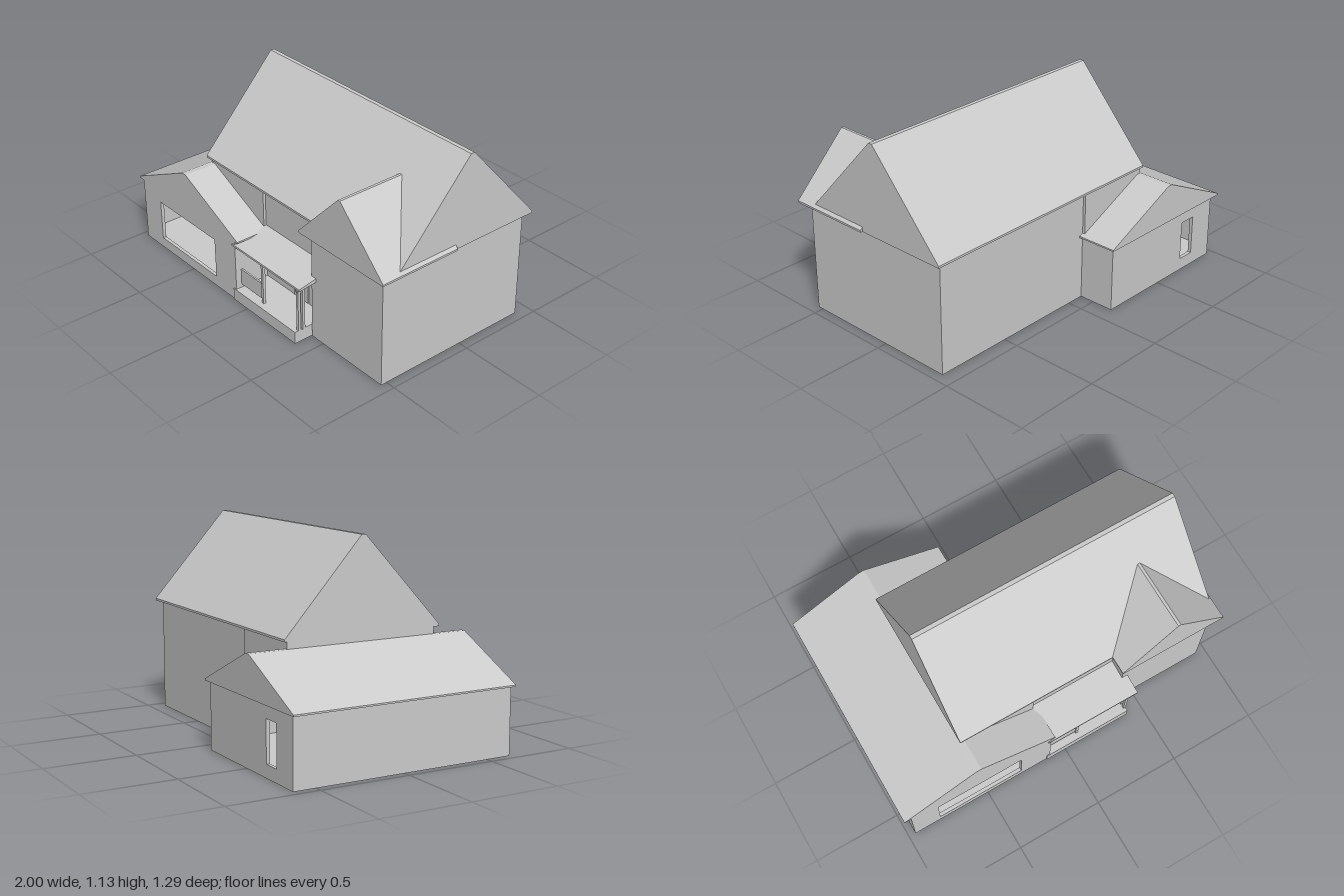
import * as THREE from 'three';

const material = new THREE.MeshStandardMaterial({ color: 0xcccccc, flatShading: true });

function add(parent, name, geometry) {
  const mesh = new THREE.Mesh(geometry, material);
  mesh.name = name;
  parent.add(mesh);
  return mesh;
}

// Box given by its limits on each axis
function block(parent, name, [x0, x1], [y0, y1], [z0, z1]) {
  const g = new THREE.BoxGeometry(x1 - x0, y1 - y0, z1 - z0);
  g.translate((x0 + x1) / 2, (y0 + y1) / 2, (z0 + z1) / 2);
  return add(parent, name, g);
}

const shapeOf = (pts) => new THREE.Shape(pts.map(([a, b]) => new THREE.Vector2(a, b)));

// Outline in x-y, swept from z0 to z1
function sweepZ(parent, name, shape, z0, z1) {
  const g = new THREE.ExtrudeGeometry(shape, { depth: z1 - z0, bevelEnabled: false });
  g.translate(0, 0, z0);
  return add(parent, name, g);
}

// Outline in z-y, swept from x0 to x1
function sweepX(parent, name, pts, x0, x1) {
  const shape = shapeOf(pts.map(([z, y]) => [-z, y]));
  const g = new THREE.ExtrudeGeometry(shape, { depth: x1 - x0, bevelEnabled: false });
  g.rotateY(Math.PI / 2);
  g.translate(x0, 0, 0);
  return add(parent, name, g);
}

// Wall panel with one rectangular opening
function openWall(parent, name, [x0, x1], [y0, y1], hole, z0, z1) {
  const shape = shapeOf([[x0, y0], [x1, y0], [x1, y1], [x0, y1]]);
  const [a, b, c, d] = hole;
  shape.holes.push(new THREE.Path([[a, c], [a, d], [b, d], [b, c]].map((p) => new THREE.Vector2(...p))));
  return sweepZ(parent, name, shape, z0, z1);
}

function makeHouse() {
  const house = new THREE.Group();
  house.name = 'mainHouse';
  block(house, 'frontBay', [0.41, 0.945], [0, 0.625], [-0.415, 0.535]);
  block(house, 'middleWalls', [-0.1, 0.41], [0, 0.625], [-0.415, 0.43]);
  block(house, 'upperLeftWalls', [-0.555, -0.1], [0.372, 0.625], [-0.43, 0.445]);
  sweepX(house, 'mainRoof',
    [[0.475, 0.625], [0.475, 0.637], [0.02, 1.13], [-0.003, 1.13], [-0.445, 0.637], [-0.445, 0.625]], -0.56, 0.98);
  // Cross gable running back into the main roof
  sweepZ(house, 'frontGableRoof',
    shapeOf([[0.365, 0.627], [0.995, 0.627], [0.995, 0.638], [0.683, 0.95], [0.668, 0.95], [0.365, 0.638]]), 0.095, 0.58);
  return house;
}

function makeGarage() {
  const garage = new THREE.Group();
  garage.name = 'garage';
  const x = [-0.96, -0.1], y = [0, 0.372];
  openWall(garage, 'garageFrontWall', x, y, [-0.8, -0.285, 0.06, 0.295], 0.62, 0.64);
  openWall(garage, 'garageBackWall', x, y, [-0.8, -0.7, 0.07, 0.295], -0.625, -0.605);
  block(garage, 'garageRightWall', [-0.96, -0.94], y, [-0.605, 0.62]);
  block(garage, 'garageLeftWall', [-0.12, -0.1], y, [-0.605, 0.62]);
  block(garage, 'garageFloor', [-0.94, -0.12], [0, 0.05], [-0.605, 0.62]);
  sweepZ(garage, 'garageRoof',
    shapeOf([[-1, 0.368], [-0.077, 0.368], [-0.077, 0.377], [-0.53, 0.587], [-0.56, 0.587], [-1, 0.377]]), -0.645, 0.64);
  return garage;
}

function makePorch() {
  const porch = new THREE.Group();
  porch.name = 'porch';
  block(porch, 'porchBase', [-0.12, 0.405], [0, 0.07], [0.42, 0.645]);
  sweepX(porch, 'porchRoof',
    [[0.645, 0.34], [0.645, 0.352], [0.535, 0.372], [0.425, 0.393], [0.425, 0.365], [0.535, 0.35]], -0.12, 0.445);
  block(porch, 'porchBeam', [-0.12, 0.405], [0.33, 0.352], [0.595, 0.622]);
  block(porch, 'porchRailing', [-0.12, 0.09], [0.09, 0.185], [0.595, 0.605]);
  // One middle post and a pair at the corner
  for (const [px, pz] of [[0.092, 0.603], [0.4, 0.615], [0.4, 0.587]]) {
    block(porch, 'porchPost', [px - 0.008, px + 0.008], [0.065, 0.345], [pz - 0.008, pz + 0.008]);
  }
  const curve = new THREE.QuadraticBezierCurve3(
    new THREE.Vector3(0.4, 0.295, 0.6), new THREE.Vector3(0.4, 0.3, 0.63), new THREE.Vector3(0.4, 0.342, 0.632));
  add(porch, 'porchBracket', new THREE.TubeGeometry(curve, 8, 0.005, 6));
  block(porch, 'frontDoor', [0.14, 0.255], [0.075, 0.31], [0.42, 0.436]);
  return porch;
}

export function createModel() {
  const model = new THREE.Group();
  model.name = 'house';
  model.add(makeHouse(), makeGarage(), makePorch());
  return model;
}
